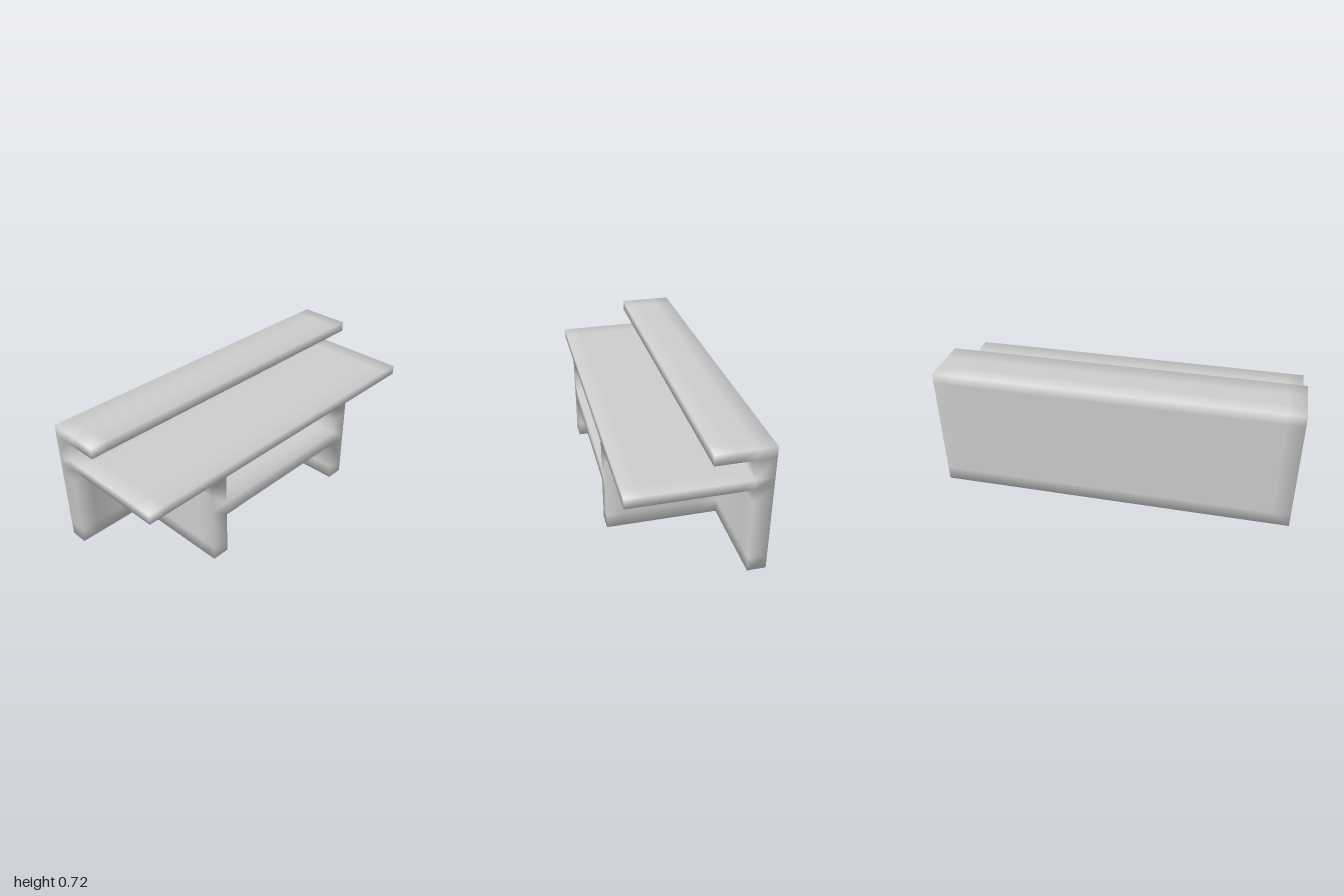
import * as THREE from 'three';

// Each part is a block: [name, min corner, max corner]; the blocks touch but never overlap.
const PARTS = [
  ['backPanel', [-0.36, 0, -1], [-0.26, 0.72, 1]],
  ['topLedge', [-0.26, 0.66, -1], [-0.055, 0.72, 1]],
  ['deskTop', [-0.26, 0.495, -1], [0.36, 0.55, 1]],
  ['frontLeg', [-0.26, 0, 0.5], [0.36, 0.495, 0.6]],
  ['rearLeg', [-0.26, 0, -0.5], [0.36, 0.495, -0.4]],
  ['lowerShelf', [-0.26, 0.25, -0.4], [0.36, 0.33, 0.5]],
];

// Grid lines shared by all blocks; the extra ones hold the soft shading close to the edges.
const SUPPORT = [[-0.16, 0.26], [0.08, 0.42], [-0.9, 0.9]];
const LINES = SUPPORT.map((extra, axis) =>
  [...new Set([...extra, ...PARTS.flatMap((p) => [p[1][axis], p[2][axis]])])].sort((a, b) => a - b));

const inside = (part, c) => c.every((v, i) => v > part[1][i] && v < part[2][i]);
const isSolid = (c) => PARTS.some((p) => inside(p, c));
const keyOf = (p) => p.map((v) => v.toFixed(3)).join();

// Outer quads of one block, skipping those that touch a neighbouring block.
function exposedQuads(part) {
  const quads = [];
  const cells = LINES.map((l) => l.slice(0, -1).map((v, i) => [v, l[i + 1]]));
  for (const cx of cells[0]) for (const cy of cells[1]) for (const cz of cells[2]) {
    const cell = [cx, cy, cz];
    const centre = cell.map(([a, b]) => (a + b) / 2);
    if (!inside(part, centre)) continue;
    for (let axis = 0; axis < 3; axis++) for (const side of [0, 1]) {
      const probe = [...centre];
      probe[axis] = cell[axis][side] + (side ? 0.001 : -0.001);
      if (isSolid(probe)) continue;
      const u = (axis + 1) % 3, v = (axis + 2) % 3;
      const corners = [[0, 0], [1, 0], [1, 1], [0, 1]].map(([i, j]) => {
        const p = [0, 0, 0];
        p[axis] = cell[axis][side];
        p[u] = cell[u][i];
        p[v] = cell[v][j];
        return p;
      });
      if (!side) corners.reverse();
      const area = (cell[u][1] - cell[u][0]) * (cell[v][1] - cell[v][0]);
      quads.push({ corners, axis, weight: (side ? 1 : -1) * area });
    }
  }
  return quads;
}

export function createModel() {
  const group = new THREE.Group();
  const material = new THREE.MeshStandardMaterial({ color: 0xcccccc });
  const skins = PARTS.map(exposedQuads);

  // Smooth normals, shared across the joints between parts
  const normals = new Map();
  for (const { corners, axis, weight } of skins.flat()) {
    for (const p of corners) {
      const k = keyOf(p);
      if (!normals.has(k)) normals.set(k, new THREE.Vector3());
      const n = normals.get(k);
      n.setComponent(axis, n.getComponent(axis) + weight);
    }
  }
  normals.forEach((n) => n.normalize());

  PARTS.forEach(([name], i) => {
    const position = [], normal = [];
    for (const { corners } of skins[i]) {
      for (const c of [0, 1, 2, 0, 2, 3]) {
        position.push(...corners[c]);
        normal.push(...normals.get(keyOf(corners[c])).toArray());
      }
    }
    const geometry = new THREE.BufferGeometry();
    geometry.setAttribute('position', new THREE.Float32BufferAttribute(position, 3));
    geometry.setAttribute('normal', new THREE.Float32BufferAttribute(normal, 3));
    const mesh = new THREE.Mesh(geometry, material);
    mesh.name = name;
    group.add(mesh);
  });
  return group;
}
